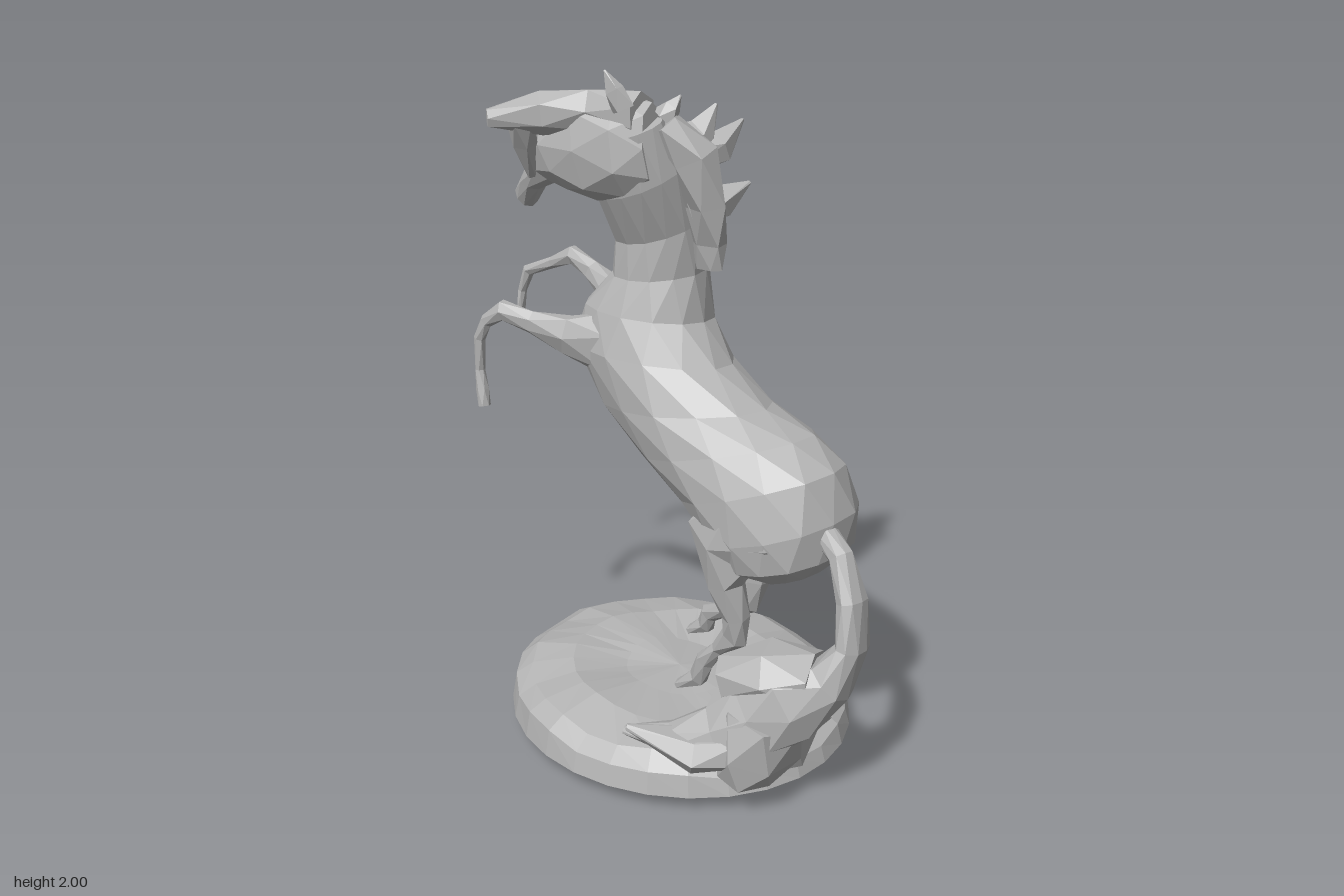
import * as THREE from 'three';

const V = (x, y, z) => new THREE.Vector3(x, y, z);

// Repeatable small offset for a hand-carved, faceted surface
function makeRandom(seed) {
  let s = seed;
  return () => {
    s = (s * 16807) % 2147483647;
    return s / 2147483647 - 0.5;
  };
}

// Skin a closed solid over rings of { c: centre, u: half height vector, w: half width }
function loft(rings, sides, rough, seed) {
  const rnd = makeRandom(seed), pos = [], idx = [], n = rings.length;
  rings.forEach((r, i) => {
    const t = rings[Math.min(i + 1, n - 1)].c.clone().sub(rings[Math.max(i - 1, 0)].c);
    const v = t.cross(r.u).normalize().multiplyScalar(r.w);
    for (let j = 0; j < sides; j++) {
      const a = ((j + (i % 2) * 0.5) / sides) * Math.PI * 2;
      const k = 1 + rnd() * rough;
      const p = r.c.clone().addScaledVector(r.u, Math.cos(a) * k).addScaledVector(v, Math.sin(a) * k);
      pos.push(p.x, p.y, p.z);
    }
  });
  for (let i = 0; i < n - 1; i++) {
    for (let j = 0; j < sides; j++) {
      const j2 = (j + 1) % sides, a = i * sides + j, b = i * sides + j2, c = a + sides, d = b + sides;
      // odd rings are turned half a step, so the diagonal alternates
      if (i % 2) idx.push(a, b, d, a, d, c);
      else idx.push(a, b, c, b, d, c);
    }
  }
  const first = rings[0].c, last = rings[n - 1].c, f = n * sides;
  pos.push(first.x, first.y, first.z, last.x, last.y, last.z);
  for (let j = 0; j < sides; j++) {
    const j2 = (j + 1) % sides;
    idx.push(f, j2, j, f + 1, f - sides + j, f - sides + j2);
  }
  return facet(new THREE.BufferGeometry()
    .setAttribute('position', new THREE.Float32BufferAttribute(pos, 3)).setIndex(idx));
}

function facet(g) {
  const flat = g.toNonIndexed();
  flat.computeVertexNormals();
  return flat;
}

// Rings from back edge and belly edge points: [topX, topY, bottomX, bottomY, centreZ, halfWidth]
const profileRings = (rows) => rows.map(([tx, ty, bx, by, z, w]) => ({
  c: V((tx + bx) / 2, (ty + by) / 2, z), u: V((tx - bx) / 2, (ty - by) / 2, 0), w,
}));

// Rings along a limb path: [x, y, z, half depth, half width in z]
const limbRings = (rows) => rows.map(([x, y, z, h, w], i) => {
  const a = rows[Math.max(i - 1, 0)], b = rows[Math.min(i + 1, rows.length - 1)];
  const t = V(b[0] - a[0], b[1] - a[1], b[2] - a[2]);
  return { c: V(x, y, z), u: V(0, 0, 1).cross(t).normalize().multiplyScalar(h), w };
});

export function createModel() {
  const group = new THREE.Group();
  const stone = new THREE.MeshStandardMaterial({ color: 0xb4b4b4 });
  stone.name = 'grey stone';
  let seed = 11;
  const add = (name, geometry) => {
    const m = new THREE.Mesh(geometry, stone);
    m.name = name;
    group.add(m);
  };
  const limb = (name, rows, sides = 6, rough = 0.12) => add(name, loft(limbRings(rows), sides, rough, seed += 37));

  // Round base with a shallow conical underside and an uneven top
  const base = new THREE.LatheGeometry([
    [0, 0], [0.54, 0.05], [0.525, 0.12], [0.47, 0.16], [0.34, 0.182], [0.17, 0.175], [0, 0.17],
  ].map(([x, y]) => new THREE.Vector2(x, y)), 28);
  const p = base.attributes.position;
  for (let i = 0; i < p.count; i++) {
    const x = p.getX(i), y = p.getY(i), z = p.getZ(i);
    const bump = y > 0.1 ? 0.008 * Math.sin(x * 17 + z * 9) + 0.006 * Math.cos(z * 21 - x * 6) - x * 0.035 : 0;
    p.setXYZ(i, x + 0.01, y + bump, z * 0.915 - 0.003);
  }
  add('base', facet(base));

  // Neck, trunk and rump in one skin
  add('body', loft(profileRings([
    [0.03, 1.87, -0.2, 1.8, 0.1, 0.06],
    [0.06, 1.74, -0.23, 1.64, 0.05, 0.085],
    [0.06, 1.58, -0.23, 1.51, -0.02, 0.09],
    [0.05, 1.43, -0.25, 1.4, -0.05, 0.122],
    [0.07, 1.29, -0.34, 1.29, -0.04, 0.155],
    [0.16, 1.18, -0.37, 1.17, -0.025, 0.178],
    [0.3, 1.09, -0.25, 1.01, -0.015, 0.19],
    [0.44, 1.04, -0.1, 0.875, -0.01, 0.2],
    [0.54, 0.97, 0.07, 0.79, 0, 0.21],
    [0.59, 0.85, 0.16, 0.7, 0, 0.21],
    [0.58, 0.74, 0.25, 0.645, 0, 0.19],
    [0.53, 0.68, 0.36, 0.63, 0, 0.13],
    [0.46, 0.645, 0.42, 0.63, 0, 0.05],
  ]), 13, 0.05, 5));

  // Head, turned down to the muzzle
  add('head', loft(profileRings([
    [-0.02, 1.92, 0.0, 1.68, 0.08, 0.065],
    [-0.12, 1.935, -0.08, 1.64, 0.09, 0.09],
    [-0.25, 1.92, -0.19, 1.63, 0.11, 0.085],
    [-0.37, 1.83, -0.27, 1.65, 0.12, 0.07],
    [-0.42, 1.74, -0.33, 1.665, 0.11, 0.05],
    [-0.48, 1.66, -0.41, 1.63, 0.095, 0.045],
    [-0.51, 1.62, -0.465, 1.565, 0.085, 0.035],
  ]), 8, 0.1, 23));

  // Ears
  limb('leftEar', [[-0.06, 1.9, 0.15, 0.04, 0.025], [-0.08, 1.95, 0.16, 0.03, 0.02], [-0.11, 2, 0.165, 0.003, 0.003]], 4, 0);
  limb('rightEar', [[0.0, 1.87, 0.06, 0.04, 0.025], [0.02, 1.9, 0.04, 0.025, 0.02], [0.03, 1.93, 0.02, 0.003, 0.003]], 4, 0);

  // Forelock swept forward to the left, with a lock hanging beside the cheek
  limb('forelock', [
    [-0.04, 1.88, 0.1, 0.06, 0.06], [-0.2, 1.88, 0.11, 0.06, 0.055],
    [-0.32, 1.865, 0.19, 0.06, 0.06], [-0.41, 1.86, 0.305, 0.025, 0.02],
  ], 6, 0.15);
  limb('cheekLock', [
    [-0.36, 1.86, 0.23, 0.05, 0.04], [-0.375, 1.78, 0.2, 0.035, 0.035], [-0.39, 1.68, 0.16, 0.012, 0.015],
  ], 5, 0.2);

  // Wind-blown mane locks
  [
    [[0.0, 1.8, 0.06, 0.05, 0.05], [0.07, 1.82, -0.02, 0.05, 0.04], [0.08, 1.9, -0.07, 0.005, 0.005]],
    [[0.03, 1.76, 0.04, 0.06, 0.05], [0.1, 1.79, -0.06, 0.05, 0.04], [0.11, 1.85, -0.15, 0.005, 0.005]],
    [[0.05, 1.62, 0, 0.06, 0.05], [0.12, 1.65, -0.05, 0.05, 0.04], [0.16, 1.69, -0.12, 0.005, 0.005]],
    [[0.02, 1.86, 0.07, 0.04, 0.05], [0.08, 1.77, 0.03, 0.07, 0.06], [0.1, 1.64, 0, 0.065, 0.05],
      [0.095, 1.53, -0.02, 0.06, 0.035], [0.1, 1.455, -0.02, 0.045, 0.015]],
  ].forEach((rows) => limb('maneLock', rows, 5, 0.15));

  // Raised front legs
  limb('rightFrontLeg', [
    [-0.16, 1.25, -0.08, 0.11, 0.075], [-0.31, 1.28, -0.1, 0.055, 0.045], [-0.42, 1.335, -0.12, 0.033, 0.028],
    [-0.5, 1.37, -0.12, 0.03, 0.024], [-0.58, 1.33, -0.115, 0.018, 0.018], [-0.68, 1.29, -0.11, 0.02, 0.02],
    [-0.705, 1.22, -0.105, 0.012, 0.015], [-0.71, 1.15, -0.1, 0.01, 0.02],
  ]);
  limb('leftFrontLeg', [
    [-0.18, 1.19, 0.06, 0.11, 0.075], [-0.32, 1.215, 0.11, 0.06, 0.045], [-0.42, 1.24, 0.155, 0.035, 0.028],
    [-0.51, 1.265, 0.18, 0.033, 0.024], [-0.575, 1.22, 0.185, 0.022, 0.018], [-0.605, 1.16, 0.185, 0.018, 0.018],
    [-0.61, 1.06, 0.185, 0.014, 0.016], [-0.6, 1, 0.19, 0.022, 0.02], [-0.59, 0.95, 0.195, 0.018, 0.02],
  ]);

  // Hind legs, the right one further forward
  limb('rightHindLeg', [
    [0.36, 0.84, -0.1, 0.15, 0.095], [0.24, 0.73, -0.11, 0.11, 0.085], [0.22, 0.62, -0.105, 0.055, 0.055],
    [0.225, 0.51, -0.09, 0.045, 0.04], [0.2, 0.43, -0.085, 0.045, 0.035], [0.12, 0.37, -0.095, 0.025, 0.025],
    [0.04, 0.32, -0.11, 0.03, 0.025], [0.02, 0.27, -0.12, 0.03, 0.025], [-0.04, 0.23, -0.125, 0.015, 0.025],
  ]);
  limb('leftHindLeg', [
    [0.4, 0.84, 0.11, 0.16, 0.095], [0.27, 0.73, 0.13, 0.13, 0.08], [0.29, 0.61, 0.14, 0.06, 0.055],
    [0.32, 0.51, 0.13, 0.04, 0.04], [0.31, 0.44, 0.12, 0.045, 0.035], [0.25, 0.38, 0.12, 0.022, 0.025],
    [0.2, 0.32, 0.12, 0.03, 0.025], [0.17, 0.25, 0.11, 0.03, 0.028], [0.1, 0.2, 0.11, 0.015, 0.025],
  ]);

  // Tail falling behind and fanning out over the base
  limb('tail', [
    [0.54, 0.82, 0.04, 0.04, 0.035], [0.615, 0.77, 0.065, 0.035, 0.035], [0.67, 0.66, 0.085, 0.035, 0.05],
    [0.685, 0.53, 0.1, 0.04, 0.07], [0.645, 0.43, 0.13, 0.075, 0.095], [0.55, 0.37, 0.17, 0.13, 0.125],
    [0.46, 0.3, 0.21, 0.14, 0.13], [0.37, 0.22, 0.27, 0.09, 0.1], [0.25, 0.19, 0.34, 0.05, 0.06],
    [0.12, 0.19, 0.39, 0.01, 0.02],
  ], 8, 0.22);

  // Loose tail locks resting on the base
  [
    [[0.6, 0.42, 0.15, 0.08, 0.1], [0.48, 0.42, 0.19, 0.09, 0.12], [0.36, 0.38, 0.24, 0.07, 0.07]],
    [[0.49, 0.3, 0.2, 0.12, 0.14], [0.46, 0.18, 0.22, 0.11, 0.15], [0.44, 0.1, 0.23, 0.08, 0.12]],
    [[0.45, 0.21, 0.25, 0.08, 0.1], [0.33, 0.18, 0.34, 0.06, 0.08], [0.17, 0.245, 0.44, 0.008, 0.01]],
    [[0.59, 0.35, 0.13, 0.08, 0.09], [0.52, 0.24, 0.13, 0.07, 0.1], [0.49, 0.12, 0.12, 0.06, 0.08]],
  ].forEach((rows) => limb('tailLock', rows, 6, 0.2));

  return group;
}
